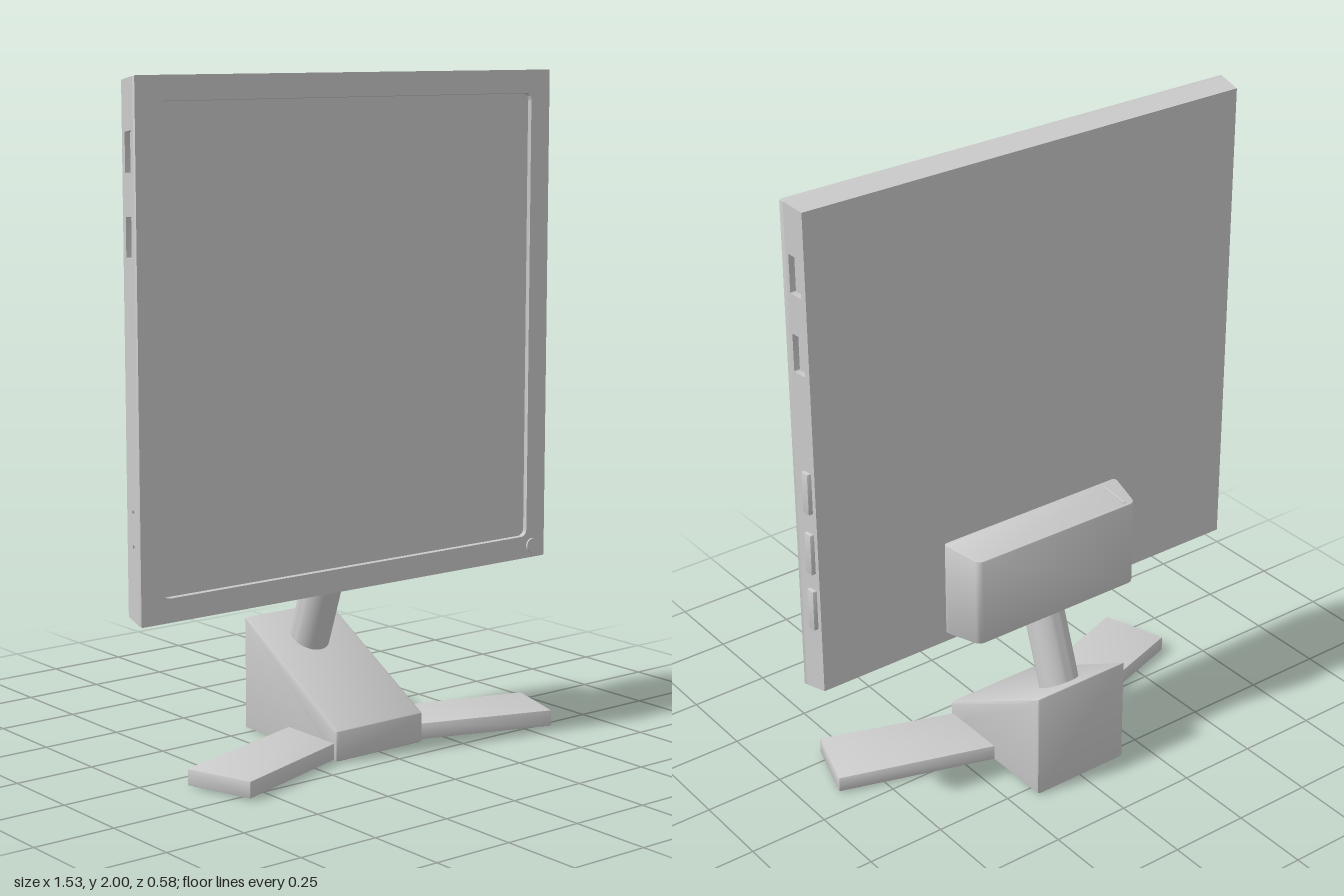
import * as THREE from 'three';
import { toCreasedNormals } from 'three/addons/utils/BufferGeometryUtils.js';

const material = new THREE.MeshStandardMaterial({ color: 0xcccccc, roughness: 0.7 });

// Screen extents
const HALF_W = 0.765, BOTTOM = 0.475, TOP = 2.0, FRONT = 0.045, BACK = -0.04;
const MID_Y = (BOTTOM + TOP) / 2;

function addMesh(parent, name, geometry) {
  const mesh = new THREE.Mesh(toCreasedNormals(geometry, 0.6), material);
  mesh.name = name;
  parent.add(mesh);
  return mesh;
}

function moveVertices(geometry, rule) {
  const p = geometry.attributes.position, v = new THREE.Vector3();
  for (let i = 0; i < p.count; i++) {
    rule(v.fromBufferAttribute(p, i));
    p.setXYZ(i, v.x, v.y, v.z);
  }
  geometry.computeVertexNormals();
  return geometry;
}

// The screen shell narrows slightly towards its back
const taper = (geometry) => moveVertices(geometry, (v) => {
  const s = 1 - 0.018 * (FRONT - v.z) / (FRONT - BACK);
  v.x *= s;
  v.y = MID_Y + (v.y - MID_Y) * s;
});

// Polygon with rounded corners
function outline(points, r = 0, Type = THREE.Shape) {
  const shape = new Type(), n = points.length;
  const pts = points.map(([x, y]) => new THREE.Vector2(x, y));
  pts.forEach((p, i) => {
    const toward = (q) => p.clone().add(q.clone().sub(p).setLength(r));
    const a = toward(pts[(i + n - 1) % n]), b = toward(pts[(i + 1) % n]);
    if (i === 0) shape.moveTo(a.x, a.y); else shape.lineTo(a.x, a.y);
    if (r > 0) shape.quadraticCurveTo(p.x, p.y, b.x, b.y);
  });
  shape.closePath();
  return shape;
}

const rect = (x0, x1, y0, y1) => [[x0, y0], [x1, y0], [x1, y1], [x0, y1]];

// Extrusion whose bevel stays inside the outline and the depth
function extrude(shape, depth, bevel = 0) {
  const g = new THREE.ExtrudeGeometry(shape, {
    depth: depth - 2 * bevel, curveSegments: 6, bevelEnabled: bevel > 0,
    bevelThickness: bevel, bevelSize: bevel, bevelOffset: -bevel, bevelSegments: 2,
  });
  return g.translate(0, 0, bevel);
}

// Side profile given as [z, y], extruded along x
const sideProfile = (points, r) => outline(points.map(([z, y]) => [-z, y]), r);
const extrudeX = (shape, x0, x1, bevel) => extrude(shape, x1 - x0, bevel).rotateY(Math.PI / 2).translate(x0, 0, 0);

// Plan given as [x, z], extruded along y
const extrudeY = (points, y0, y1, r, bevel) =>
  extrude(outline(points.map(([x, z]) => [x, -z]), r), y1 - y0, bevel).rotateX(-Math.PI / 2).translate(0, y0, 0);

function createScreen() {
  const screen = new THREE.Group();
  screen.name = 'screen';
  const panelZ = FRONT - 0.013, innerX = HALF_W - 0.018;

  // Display panel and back shell
  const core = new THREE.BoxGeometry(2 * innerX, TOP - BOTTOM, panelZ - BACK)
    .translate(0, MID_Y, (panelZ + BACK) / 2);
  addMesh(screen, 'displayPanel', taper(core));

  // Bezel around the display
  const frame = outline(rect(-HALF_W, HALF_W, BOTTOM, TOP), 0.004);
  frame.holes.push(outline(rect(-0.69, 0.69, 0.545, 1.93), 0.025, THREE.Path));
  addMesh(screen, 'bezel', taper(extrude(frame, FRONT - panelZ).translate(0, 0, panelZ)));

  // Side walls with recessed slots
  for (const side of [-1, 1]) {
    const wall = sideProfile(rect(BACK, panelZ, BOTTOM, TOP));
    for (const [y0, y1] of [[1.74, 1.855], [1.505, 1.62]]) {
      wall.holes.push(outline(rect(-0.02, 0.022, y0, y1), 0.004, THREE.Path));
    }
    if (side < 0) {
      for (const y of [0.69, 0.79]) wall.holes.push(new THREE.Path().absarc(0, y, 0.007, 0, Math.PI * 2));
    }
    const x0 = side > 0 ? innerX : -HALF_W;
    addMesh(screen, side > 0 ? 'leftWall' : 'rightWall', taper(extrudeX(wall, x0, x0 + HALF_W - innerX)));
  }

  // Side buttons
  for (const [y0, y1] of [[1.075, 1.205], [0.88, 1.01], [0.695, 0.825]]) {
    addMesh(screen, 'sideButton', extrudeX(sideProfile(rect(-0.027, 0.002, y0, y1), 0.004), 0.74, 0.767, 0.002));
  }

  // Power button on the bezel
  addMesh(screen, 'powerButton', new THREE.CylinderGeometry(0.022, 0.024, 0.01, 32)
    .rotateX(Math.PI / 2).translate(0.712, 0.513, FRONT));
  return screen;
}

function createStand() {
  const stand = new THREE.Group();
  stand.name = 'stand';

  // Rear housing, slightly shorter at its back
  const plan = [[-0.325, -0.035], [-0.292, -0.173], [0.292, -0.173], [0.325, -0.035]];
  const housing = moveVertices(extrudeY(plan, 0.52, 0.828, 0.022, 0.004), (v) => {
    const s = 1 - 0.085 * (-0.035 - v.z) / 0.138;
    v.y = 0.674 + (v.y - 0.674) * s;
  });
  addMesh(stand, 'rearHousing', housing);
  const ridge = addMesh(stand, 'housingRidge', new THREE.BoxGeometry(0.008, 0.006, 0.1));
  ridge.position.set(-0.26, 0.82, -0.11);
  ridge.rotation.x = -0.095;

  // Leaning neck
  const top = new THREE.Vector3(0, 0.57, -0.08), foot = new THREE.Vector3(0, 0.2, -0.21);
  const neck = addMesh(stand, 'neck', new THREE.CylinderGeometry(0.062, 0.062, top.distanceTo(foot), 40));
  neck.position.copy(top).add(foot).multiplyScalar(0.5);
  neck.quaternion.setFromUnitVectors(new THREE.Vector3(0, 1, 0), top.clone().sub(foot).normalize());

  // Wedge base
  const wedge = sideProfile([[0.162, 0], [0.162, 0.092], [-0.292, 0.352], [-0.292, 0]], 0.008);
  addMesh(stand, 'wedgeBase', extrudeX(wedge, -0.166, 0.166, 0.01));

  // Splayed feet
  for (const side of [-1, 1]) {
    const footPlan = [[0.12, 0.135], [0.574, 0.291], [0.641, 0.082], [0.12, -0.085]];
    addMesh(stand, side > 0 ? 'leftFoot' : 'rightFoot',
      extrudeY(footPlan.map(([x, z]) => [side * x, z]), 0.005, 0.055, 0.003, 0.003));
  }
  return stand;
}

export function createModel() {
  const model = new THREE.Group();
  model.name = 'monitor';
  model.add(createScreen(), createStand());
  return model;
}
